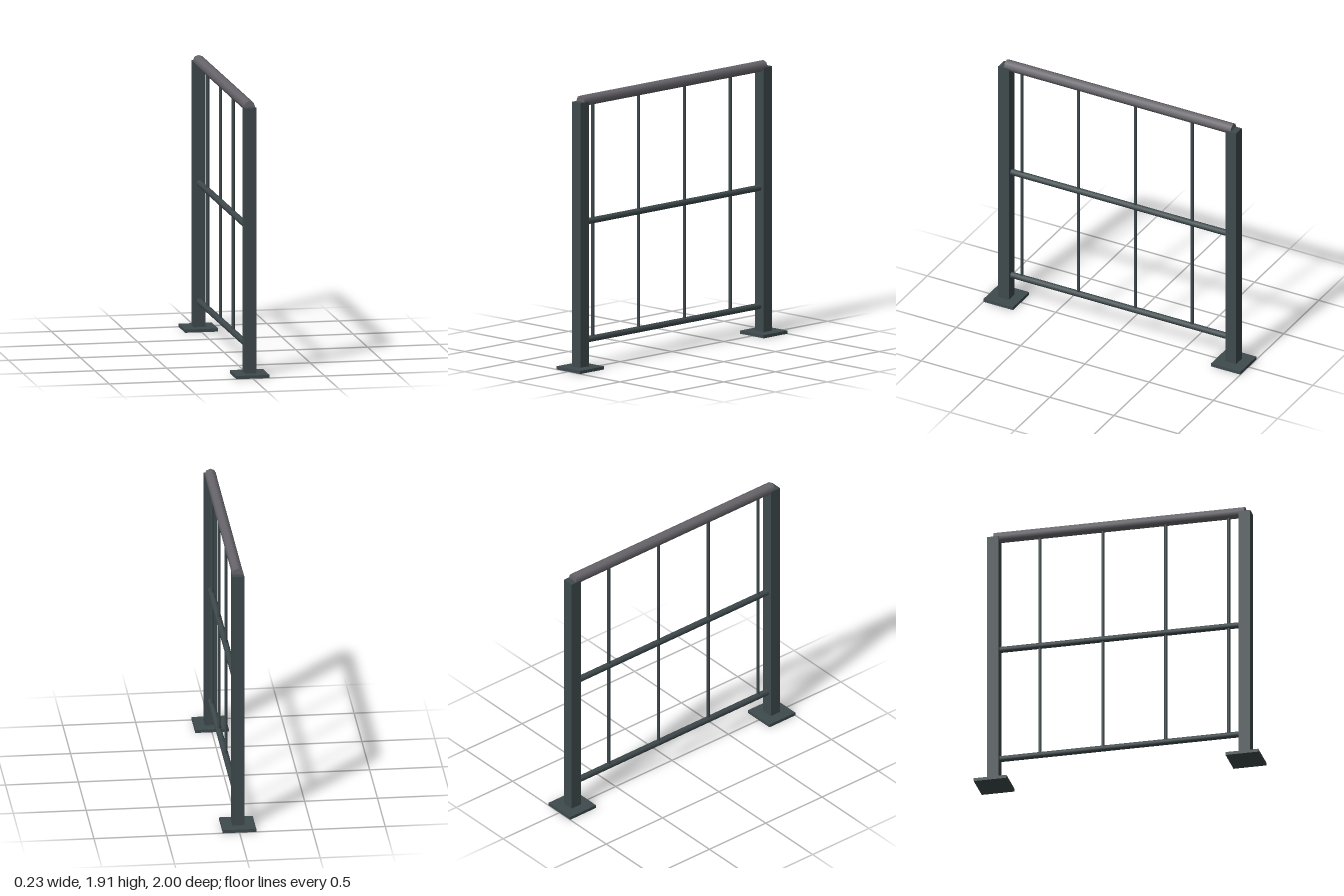
import * as THREE from 'three';

export function createModel() {
  const model = new THREE.Group();
  model.name = 'railing';
  const steel = new THREE.MeshStandardMaterial({ color: 0x3f4a4d });
  steel.name = 'dark slate steel';
  const grip = new THREE.MeshStandardMaterial({ color: 0x68666c });
  grip.name = 'grey handrail';

  const add = (name, geometry, material, x, y, z) => {
    const mesh = new THREE.Mesh(geometry, material);
    mesh.name = name;
    mesh.position.set(x, y, z);
    model.add(mesh);
  };
  // Horizontal round tube along z
  const tube = (radius, length) =>
    new THREE.CylinderGeometry(radius, radius, length, 8).rotateX(Math.PI / 2);

  // Square posts on base plates
  for (const [side, s] of [['front', 1], ['back', -1]]) {
    add(side + 'BasePlate', new THREE.BoxGeometry(0.23, 0.022, 0.23), steel, 0, 0.011, s * 0.885);
    add(side + 'Post', new THREE.BoxGeometry(0.082, 1.842, 0.082), steel, 0, 0.942, s * 0.884);
  }

  // Handrail over the post tops
  add('handrail', tube(0.039, 1.764), grip, 0, 1.867, 0);

  // Middle and lower rails between the posts
  add('middleRail', tube(0.022, 1.69), steel, 0, 1.022, 0);
  add('lowerRail', tube(0.022, 1.69), steel, 0, 0.2, 0);

  // Thin upright bars, evenly stepped from the front post
  for (let i = 0; i < 4; i++) {
    add('uprightBar' + (i + 1), new THREE.CylinderGeometry(0.011, 0.011, 1.66, 8), steel,
      0, 1.03, 0.764 - i * 0.442);
  }
  return model;
}
